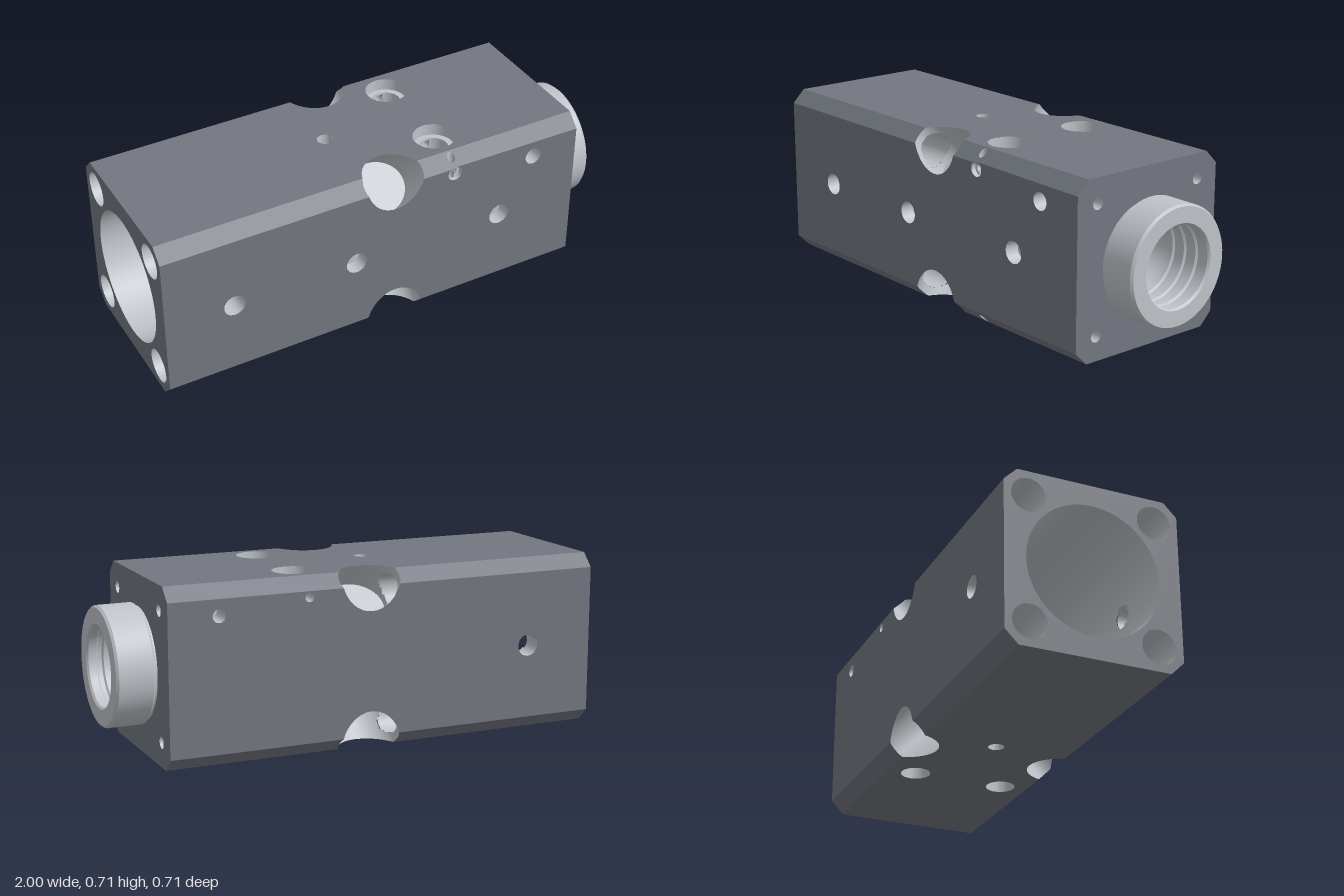
import * as THREE from 'three';
import { toCreasedNormals } from 'three/addons/utils/BufferGeometryUtils.js';

const H = 0.3565;              // half height and half depth of the block
const C = 0.3025;              // where the long corner chamfers begin
const X0 = -1, X1 = 0.835;     // block ends
const S = (H + C) / Math.SQRT2; // chamfer distance from the axis
const TC = (H - C) / Math.SQRT2; // half width of a chamfer
const PX = -0.004, PR = 0.13, PF = 0.84, PS = 0.265; // corner pockets: x, radius, flattening, floor distance
const STEP = 0.01;

const V = (x, y, z) => new THREE.Vector3(x, y, z);
const AX = V(1, 0, 0);
const darkMetal = new THREE.MeshStandardMaterial({ color: 0x737780 });
const bareMetal = new THREE.MeshStandardMaterial({ color: 0xc0c4ca });

// Planes bounding the block, as [normal, distance]
const planes = [[V(1, 0, 0), X1], [V(-1, 0, 0), -X0]];
for (let k = 0; k < 4; k++) {
  planes.push([V(0, 0, 1).applyAxisAngle(AX, k * Math.PI / 2), H]);
  planes.push([V(0, 0, 1).applyAxisAngle(AX, (k - 0.5) * Math.PI / 2), S]);
}

// Drillings: face (0 front, 1 bottom, 2 back, 3 top), x, y on the face, radius, depth, pilot radius
const drillings = [
  [0, -0.71, 0, 0.045, H], [2, -0.71, 0, 0.045, H],
  [0, -0.18, 0, 0.045, 0.06, 0.017], [0, 0.48, 0, 0.045, 0.06, 0.017],
  [0, 0.63, 0.237, 0.036, 0.1], [2, 0.63, -0.237, 0.027, 0.1],
  [0, 0.26, 0.2785, 0.03, 0.02, 0.019], [2, 0.26, -0.2785, 0.019, H],
  [1, -0.127, 0, 0.032, 0.08], [3, -0.127, 0, 0.032, 0.08],
];
for (const z of [-0.19, 0.19]) drillings.push([1, 0.26, z, 0.06, H], [3, 0.26, z, 0.085, 0.05, 0.06]);

// Every cut is a cylinder from o along d; its floor runs from radius inner to r,
// and flat squeezes it along its second cross axis
const cuts = [];
function addCut(name, o, d, r, len, inner = r, flat = 1) {
  const e1 = Math.abs(d.x) > 0.5 ? V(0, 1, 0) : V(1, 0, 0);
  cuts.push({ name, o, d, r, len, inner, flat, e1, e2: d.clone().cross(e1) });
}
addCut('mainBore', V(-0.25, 0, 0), V(1, 0, 0), 0.13, 0.95);
addCut('cylinderBore', V(-0.25, 0, 0), V(-1, 0, 0), 0.27, 0.8, 0.13);
for (const y of [-0.257, 0.257]) for (const z of [-0.257, 0.257]) {
  addCut('cornerBore', V(-0.05, y, z), V(-1, 0, 0), 0.07, 1);
  addCut('screwHole', V(0.72, y, z), V(1, 0, 0), 0.024, 0.2, 0);
}
for (let k = 0; k < 4; k++) {
  const d = V(0, 0, 1).applyAxisAngle(AX, (k - 0.5) * Math.PI / 2);
  addCut('cornerPocket', d.clone().multiplyScalar(PS).setX(PX), d, PR, 0.4, 0, PF);
}
for (const [k, x, y, r, depth, pilot] of drillings) {
  const place = (v) => v.applyAxisAngle(AX, k * Math.PI / 2);
  const d = place(V(0, 0, 1));
  addCut('drilledHole', place(V(x, y, H - depth)), d, r, depth + 0.02, pilot ?? (depth < H ? 0 : r));
  if (pilot) addCut('pilotHole', place(V(x, y, 0)), d, pilot, H - depth);
}
addCut('edgePinHole', V(0.26, -0.5, 0.322), V(0, 1, 0), 0.016, 1);

const inCut = (c, p) => {
  const v = p.clone().sub(c.o), u = v.dot(c.d);
  return u > 0 && u < c.len && Math.hypot(v.dot(c.e1), v.dot(c.e2) / c.flat) < c.r - 0.0005;
};

// Grid closed around u, leaving out the cells that fall within another cut
function cutGrid(nu, nv, point, self) {
  const pos = [], index = [], pts = [];
  for (let i = 0; i < nu; i++) for (let j = 0; j <= nv; j++) {
    const p = point(i / nu * Math.PI * 2, j / nv);
    pts.push(p);
    pos.push(p.x, p.y, p.z);
  }
  for (let i = 0; i < nu; i++) for (let j = 0; j < nv; j++) {
    const a = i * (nv + 1) + j, c = ((i + 1) % nu) * (nv + 1) + j;
    const mid = pts[a].clone().add(pts[a + 1]).add(pts[c]).add(pts[c + 1]).multiplyScalar(0.25);
    if (cuts.some((q) => q !== self && inCut(q, mid))) continue;
    index.push(a, a + 1, c, c, a + 1, c + 1);
  }
  const g = new THREE.BufferGeometry();
  g.setAttribute('position', new THREE.Float32BufferAttribute(pos, 3));
  g.setIndex(index);
  g.computeVertexNormals();
  return g;
}

// Wall and floor of one cut, the wall trimmed to the block's surface
function buildCut(cut) {
  const { name, o, d, r, len, inner, flat, e1, e2 } = cut;
  const group = new THREE.Group();
  group.name = name;
  const radial = (a, q) => o.clone().addScaledVector(e1, q * Math.cos(a)).addScaledVector(e2, q * flat * Math.sin(a));
  const nu = Math.max(24, Math.ceil(2 * Math.PI * r / STEP));
  const wall = cutGrid(nu, Math.ceil(len / STEP), (a, t) => {
    const p = radial(a, r);
    let lo = 0, hi = len;
    for (const [n, h] of planes) {
      const nd = n.dot(d), u = (h - n.dot(p)) / nd;
      if (nd > 1e-6) hi = Math.min(hi, u);
      if (nd < -1e-6) lo = Math.max(lo, u);
    }
    return p.addScaledVector(d, lo + (hi - lo) * t);
  }, cut);
  group.add(new THREE.Mesh(wall, bareMetal));
  if (inner < r) {
    const floor = cutGrid(nu, Math.ceil((r - inner) / STEP), (a, t) => radial(a, inner + (r - inner) * t), cut);
    group.add(new THREE.Mesh(floor, bareMetal));
  }
  return group;
}

function panel(name, points, holes = []) {
  const shape = new THREE.Shape(points.map(([x, y]) => new THREE.Vector2(x, y)));
  for (const [x, y, rx, ry = rx] of holes) {
    shape.holes.push(new THREE.Path().absellipse(x, y, rx, ry, 0, Math.PI * 2, true));
  }
  const mesh = new THREE.Mesh(new THREE.ShapeGeometry(shape, 32), darkMetal);
  mesh.name = name;
  return mesh;
}

export function createModel() {
  const model = new THREE.Group();
  model.name = 'cylinderBlock';
  const body = new THREE.Group();
  body.name = 'body';
  body.position.y = H;
  model.add(body);

  // Four long faces, each bitten by the corner pockets
  const a0 = Math.asin(TC / (PR * PF)), bite = [];
  for (let i = 0; i <= 32; i++) {
    const a = a0 + (Math.PI - 2 * a0) * i / 32;
    bite.push([PX + PR * Math.cos(a), H - Math.SQRT2 * PR * PF * Math.sin(a)]);
  }
  const outline = [[X0, -C], ...bite.map(([x, y]) => [x, -y]).reverse(), [X1, -C], [X1, C], ...bite, [X0, C]];
  ['frontFace', 'bottomFace', 'backFace', 'topFace'].forEach((name, k) => {
    const holes = drillings.filter((h) => h[0] === k).map((h) => h.slice(1, 4));
    const face = panel(name, outline, holes);
    face.geometry.translate(0, 0, H);
    face.rotation.x = k * Math.PI / 2;
    body.add(face);
  });

  // Chamfers, interrupted by the pockets
  for (let k = 0; k < 4; k++) {
    const arc = [];
    for (let i = 0; i <= 6; i++) {
      const t = -TC + 2 * TC * i / 6;
      arc.push([PR * Math.sqrt(1 - (t / (PR * PF)) ** 2), t]);
    }
    const pin = k < 2 ? [[0.26, k ? -0.0106 : 0.0106, 0.016, 0.0226]] : [];
    const left = panel('chamfer', [[X0, -TC], ...arc.map(([x, t]) => [PX - x, t]), [X0, TC]]);
    const right = panel('chamfer', [[X1, -TC], [X1, TC], ...arc.map(([x, t]) => [PX + x, t]).reverse()], pin);
    for (const strip of [left, right]) {
      strip.geometry.translate(0, 0, S);
      strip.rotation.x = (k - 0.5) * Math.PI / 2;
      body.add(strip);
    }
  }

  // End faces
  const octagon = [[-C, -H], [C, -H], [H, -C], [H, C], [C, H], [-C, H], [-H, C], [-H, -C]];
  for (const [name, x, side, bore, hole] of [['rightEnd', X0, -1, 0.27, 0.07], ['leftEnd', X1, 1, 0.2, 0.024]]) {
    const holes = [[0, 0, bore]];
    for (const u of [-0.257, 0.257]) for (const v of [-0.257, 0.257]) holes.push([u, v, hole]);
    const end = panel(name, octagon, holes);
    end.rotation.y = side * Math.PI / 2;
    end.position.x = x;
    body.add(end);
  }

  // Bores, pockets and drilled holes
  for (const cut of cuts) body.add(buildCut(cut));

  // Grooved collar, running inward to the main bore
  const profile = [[0.228, X1], [0.228, 0.842], [0.24, 0.852], [0.24, 0.99], [0.232, 1], [0.168, 1], [0.16, 0.992]];
  for (const x of [0.96, 0.9, 0.84]) {
    profile.push([0.16, x], [0.168, x - 0.006], [0.168, x - 0.024], [0.16, x - 0.03]);
  }
  profile.push([0.158, 0.765], [0.13, 0.7]);
  const lathe = new THREE.LatheGeometry(profile.map(([r, x]) => new THREE.Vector2(r, x)), 72);
  const collar = new THREE.Mesh(toCreasedNormals(lathe, 0.5), bareMetal);
  collar.name = 'threadedCollar';
  collar.rotation.z = -Math.PI / 2;
  body.add(collar);

  return model;
}
